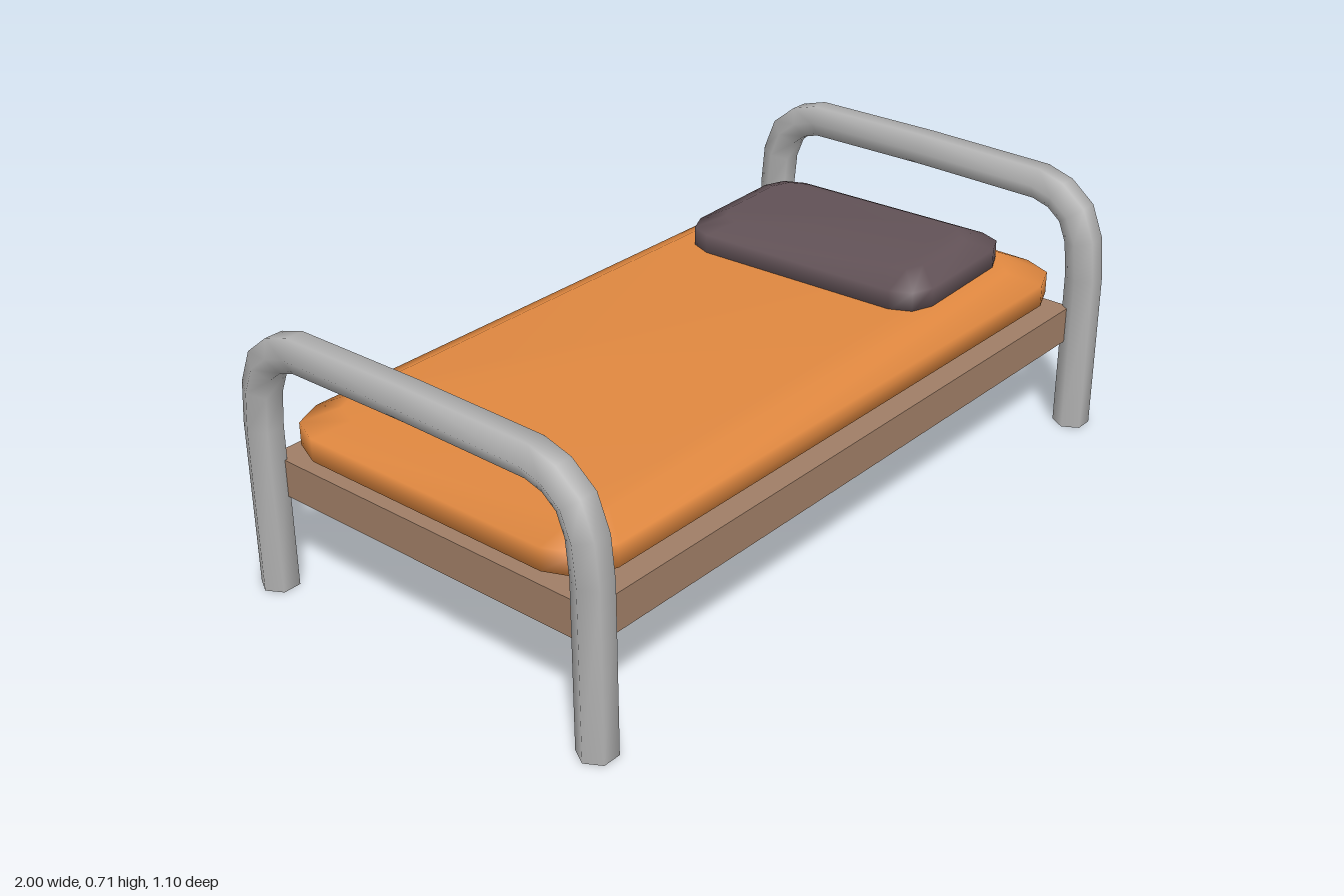
import * as THREE from 'three';

const mat = (name, color) => {
  const m = new THREE.MeshStandardMaterial({ color });
  m.name = name;
  return m;
};

// Skins a stack of equal-sized rings with smooth normals, optionally closing both ends.
function loft(rings, capped) {
  const n = rings[0].length, index = [];
  for (let i = 0; i < rings.length - 1; i++) {
    for (let j = 0; j < n; j++) {
      const k = (j + 1) % n;
      const a = i * n + j, b = i * n + k, c = a + n, d = b + n;
      index.push(a, c, b, b, c, d);
    }
  }
  if (capped) {
    const top = (rings.length - 1) * n;
    for (let j = 1; j < n - 1; j++) {
      index.push(0, j, j + 1);
      index.push(top, top + j + 1, top + j);
    }
  }
  const geometry = new THREE.BufferGeometry().setFromPoints(rings.flat());
  geometry.setIndex(index);
  geometry.computeVertexNormals();
  return geometry;
}

// Rectangle with corners cut in two facets, laid flat at height y.
function cushionRing(a, b, cut, y) {
  const corner = [[a, b - cut], [a - cut * 0.3, b - cut * 0.3], [a - cut, b]];
  const back = [...corner].reverse();
  return [
    ...corner,
    ...back.map(([x, z]) => [-x, z]),
    ...corner.map(([x, z]) => [-x, -z]),
    ...back.map(([x, z]) => [x, -z]),
  ].map(([x, z]) => new THREE.Vector3(x, y, z));
}

// Soft block: upright sides with sloping shoulders above and below.
function cushion(a, b, cut, inset, [y0, y1, y2, y3]) {
  const inner = y => cushionRing(a - inset, b - inset, cut * 0.85, y);
  const outer = y => cushionRing(a, b, cut, y);
  return loft([inner(y0), outer(y1), outer(y2), inner(y3)], true);
}

// Six-sided pipe swept along a bent path in the z-y plane, mitred at each bend.
function bentPipe(path, radius) {
  const pts = path.map(([z, y]) => new THREE.Vector3(0, y, z));
  const xAxis = new THREE.Vector3(1, 0, 0);
  const rings = pts.map((p, i) => {
    const before = p.clone().sub(pts[Math.max(i - 1, 0)]).normalize();
    const after = pts[Math.min(i + 1, pts.length - 1)].clone().sub(p).normalize();
    const tangent = before.clone().add(after).normalize();
    const miter = 1 / Math.max(tangent.dot(before), tangent.dot(after));
    const normal = xAxis.clone().cross(tangent);
    return Array.from({ length: 6 }, (_, j) => {
      const t = j * Math.PI / 3;
      return p.clone()
        .addScaledVector(xAxis, Math.cos(t) * radius)
        .addScaledVector(normal, Math.sin(t) * radius * miter);
    });
  });
  return loft(rings, false);
}

export function createModel() {
  const model = new THREE.Group();
  model.name = 'bed';
  const add = (name, geometry, material, x, y, z) => {
    const mesh = new THREE.Mesh(geometry, material);
    mesh.name = name;
    mesh.position.set(x, y, z);
    model.add(mesh);
    return mesh;
  };

  const metal = mat('grey metal', 0xb2b2b2);
  const wood = mat('brown wood', 0xa07e66);
  const blanket = mat('orange fabric', 0xe08840);
  const pillowCloth = mat('dark mauve fabric', 0x625257);

  // Head and foot rails: each pipe runs up one leg, across and down the other
  const half = [[0.51, 0], [0.51, 0.43], [0.5, 0.53], [0.472, 0.6], [0.42, 0.642], [0.36, 0.66]];
  const path = [...half, [0, 0.664], ...[...half].reverse().map(([z, y]) => [-z, y])];
  const rail = bentPipe(path, 0.048);
  add('headRail', rail, metal, 0.952, 0, 0);
  add('footRail', rail, metal, -0.952, 0, 0);

  // Base board
  add('baseBoard', new THREE.BoxGeometry(1.87, 0.096, 1.0), wood, 0, 0.293, -0.012);

  // Mattress
  add('mattress', cushion(0.937, 0.471, 0.115, 0.075, [0.342, 0.377, 0.435, 0.47]),
    blanket, 0, 0, -0.008);

  // Pillow, turned slightly and sunk a little into the mattress
  const pillow = add('pillow', cushion(0.228, 0.365, 0.08, 0.062, [0.435, 0.465, 0.52, 0.549]),
    pillowCloth, 0.605, 0, -0.016);
  pillow.rotation.y = 0.045;

  return model;
}
